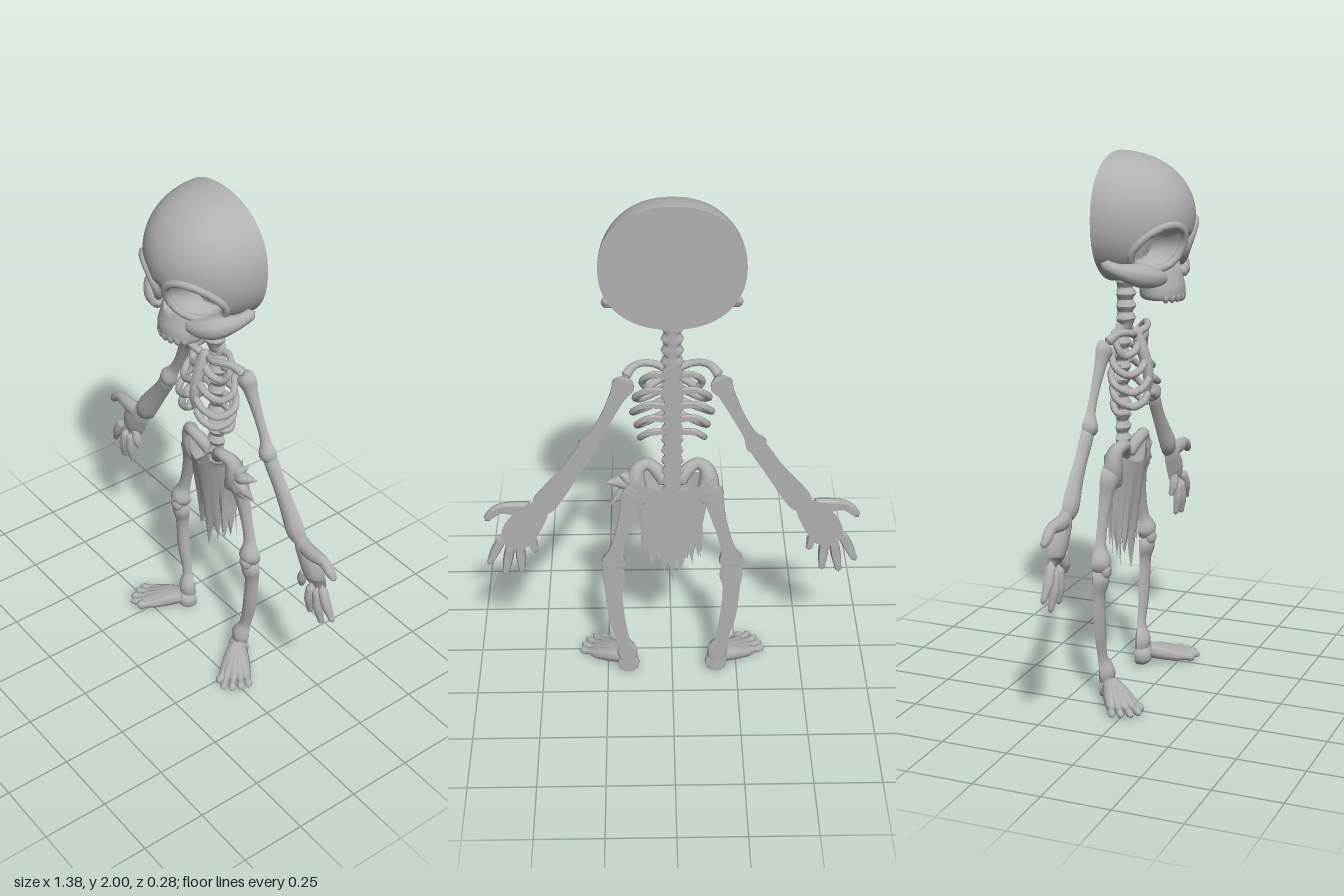
import * as THREE from 'three';
import { toCreasedNormals } from 'three/addons/utils/BufferGeometryUtils.js';

const BACK = -0.14; // everything is a half relief, cut flat on this plane
const bone = new THREE.MeshStandardMaterial({ color: 0xb0b0b0, side: THREE.DoubleSide });
bone.name = 'bone grey';

// Move every vertex by a rule, then flatten the back and the soles
function reshape(geo, rule = () => {}) {
  const p = geo.attributes.position, v = new THREE.Vector3();
  for (let i = 0; i < p.count; i++) {
    v.fromBufferAttribute(p, i);
    rule(v, i);
    p.setXYZ(i, v.x, Math.max(0, v.y), Math.max(BACK, v.z));
  }
  return toCreasedNormals(geo, 0.8);
}

function add(group, name, geo) {
  const mesh = new THREE.Mesh(geo, bone);
  mesh.name = name;
  group.add(mesh);
}

// Tapered tube through points [x, y, z, radius]; s mirrors it
function limb(pts, s = 1, sides = 10, per = 4) {
  const curve = new THREE.CatmullRomCurve3(pts.map(p => new THREE.Vector3(p[0] * s, p[1], p[2])));
  const radius = new THREE.SplineCurve(pts.map((p, i) => new THREE.Vector2(i, p[3])));
  curve.getPointAt = curve.getPoint;
  curve.getTangentAt = curve.getTangent;
  const n = (pts.length - 1) * per;
  const geo = new THREE.TubeGeometry(curve, n, 1, sides);
  const normal = geo.attributes.normal;
  const c = new THREE.Vector3(), d = new THREE.Vector3();
  return reshape(geo, (v, i) => {
    const ring = Math.floor(i / (sides + 1)), t = ring / n;
    const r = ring === 0 || ring === n ? 0.001 : radius.getPoint(t).y;
    curve.getPoint(t, c);
    v.copy(c).addScaledVector(d.fromBufferAttribute(normal, i), r);
  });
}

function ball(x, y, z, rx, ry, rz) {
  return reshape(new THREE.SphereGeometry(1, 20, 14), v => v.set(x + v.x * rx, y + v.y * ry, z + v.z * rz));
}

// Eye sockets, nose opening and the dip between the brows
function dent(x, y) {
  const ax = Math.abs(x);
  const eye = Math.hypot((ax - 0.115) / 0.082, (y - 1.68) / 0.076);
  const nose = Math.hypot((ax - 0.014) / 0.02, (y - 1.63) / 0.045);
  const bridge = Math.hypot(x / 0.06, (y - 1.68) / 0.05);
  return 0.1 * (1 - THREE.MathUtils.smoothstep(eye, 0.6, 1))
    + 0.05 * (1 - THREE.MathUtils.smoothstep(nose, 0.5, 1))
    + 0.02 * (1 - THREE.MathUtils.smoothstep(bridge, 0, 1));
}
const faceBulge = (x, y) => 0.05 * Math.exp(-(((y - 1.6) / 0.06) ** 2)) * Math.min(1, Math.abs(x) / 0.1);
function domeZ(x, y) {
  const c = Math.sqrt(Math.max(0, 1 - Math.abs(x / 0.25) ** 2.2 - Math.abs((y - 1.77) / 0.23) ** 2.2));
  return BACK + (0.28 + faceBulge(x, y)) * c;
}

function makeSkull() {
  const g = new THREE.Group();
  g.name = 'skull';
  const dome = new THREE.SphereGeometry(1, 96, 64).rotateX(Math.PI / 2);
  add(g, 'cranium', reshape(dome, v => {
    const l = Math.hypot(v.x, v.y) || 1;
    const k = (Math.abs(v.x / l) ** 2.2 + Math.abs(v.y / l) ** 2.2) ** (-1 / 2.2);
    const x = v.x * k * 0.25, y = 1.77 + v.y * k * 0.23, c = v.z;
    v.set(x, y, BACK + (0.28 + faceBulge(x, y)) * c - (c > 0 ? dent(x, y) : 0));
  }));
  // Upper jaw
  const profile = new THREE.SplineCurve([[0.002, 1.5], [0.08, 1.485], [0.094, 1.52], [0.082, 1.57],
    [0.066, 1.62], [0.045, 1.67], [0.002, 1.7]].map(p => new THREE.Vector2(...p)));
  add(g, 'upperJaw', reshape(new THREE.LatheGeometry(profile.getPoints(30), 48), v => {
    const front = v.z > 0;
    v.z = 0.03 + v.z * 0.85;
    if (front) v.z -= dent(v.x, v.y);
  }));
  for (let i = -3; i <= 3; i++) {
    const a = i * 0.33;
    add(g, 'tooth', ball(0.08 * Math.sin(a), 1.497, 0.03 + 0.07 * Math.cos(a), 0.014, 0.021, 0.012));
  }
  for (const s of [1, -1]) {
    // Eye socket rim lying on the dome
    const rim = [];
    for (let i = 0; i < 20; i++) {
      const a = i / 20 * Math.PI * 2;
      const x = 0.115 + 0.085 * Math.cos(a), y = 1.68 + 0.079 * Math.sin(a);
      rim.push(new THREE.Vector3(x * s, y, domeZ(x, y) - 0.005));
    }
    add(g, 'eyeRim', reshape(new THREE.TubeGeometry(new THREE.CatmullRomCurve3(rim, true), 48, 0.014, 8, true)));
    add(g, 'cheekbone', limb([[0.075, 1.57, 0.07, 0.02], [0.13, 1.575, 0.05, 0.035], [0.18, 1.59, 0.01, 0.042],
      [0.212, 1.605, -0.05, 0.026], [0.225, 1.63, -0.11, 0.02]], s));
  }
  return g;
}

function makeTorso() {
  const g = new THREE.Group();
  g.name = 'torso';
  const spine = [];
  for (let i = 0; i <= 32; i++) {
    const y = 1.56 - i * 0.0225;
    spine.push([0, y, y > 1.36 ? -0.115 : -0.135, i % 2 ? 0.041 : 0.028]);
  }
  add(g, 'spine', limb(spine, 1, 12, 3));
  add(g, 'breastbone', limb([[0, 1.37, -0.08, 0.018], [0, 1.31, -0.055, 0.022], [0, 1.2, -0.025, 0.02],
    [0, 1.11, -0.035, 0.01]]));
  const ribs = [[1.315, 0.105, -0.06], [1.25, 0.13, -0.035], [1.19, 0.14, -0.018], [1.135, 0.125, -0.022]];
  for (const s of [1, -1]) {
    for (const [y, w, z] of ribs) {
      add(g, 'rib', limb([[0.01, y + 0.035, -0.13, 0.014], [w * 0.65, y + 0.04, -0.13, 0.013],
        [w, y - 0.005, -0.1, 0.013], [w * 0.85, y - 0.035, z - 0.025, 0.014],
        [w * 0.45, y - 0.025, z, 0.014], [0.005, y + 0.005, z, 0.014]], s, 8));
    }
    add(g, 'floatingRib', limb([[0.01, 1.12, -0.135, 0.013], [0.08, 1.115, -0.13, 0.013],
      [0.115, 1.075, -0.1, 0.012], [0.09, 1.07, -0.06, 0.009]], s, 8));
    add(g, 'collarbone', limb([[0.015, 1.345, -0.075, 0.016], [0.07, 1.36, -0.06, 0.013],
      [0.13, 1.368, -0.085, 0.014], [0.17, 1.335, -0.12, 0.02]], s));
    add(g, 'hipBone', limb([[0.02, 0.88, -0.12, 0.025], [0.05, 0.925, -0.1, 0.026], [0.09, 0.95, -0.085, 0.022],
      [0.125, 0.935, -0.1, 0.028], [0.13, 0.86, -0.115, 0.04], [0.09, 0.79, -0.12, 0.03]], s));
  }
  return g;
}

function makeArm(s) {
  const g = new THREE.Group();
  g.name = s > 0 ? 'leftArm' : 'rightArm';
  add(g, 'upperArm', limb([[0.155, 1.345, -0.135, 0.02], [0.17, 1.315, -0.135, 0.042], [0.19, 1.275, -0.135, 0.03],
    [0.235, 1.18, -0.14, 0.023], [0.275, 1.105, -0.14, 0.025], [0.3, 1.06, -0.135, 0.04], [0.32, 1.03, -0.14, 0.02]], s));
  add(g, 'forearm', limb([[0.285, 1.08, -0.14, 0.022], [0.315, 1.035, -0.14, 0.034], [0.36, 0.965, -0.145, 0.036],
    [0.42, 0.88, -0.15, 0.045], [0.465, 0.815, -0.145, 0.047], [0.495, 0.775, -0.14, 0.03]], s));
  add(g, 'palm', limb([[0.47, 0.81, -0.14, 0.03], [0.5, 0.775, -0.155, 0.05], [0.545, 0.715, -0.17, 0.066],
    [0.58, 0.65, -0.17, 0.058], [0.595, 0.62, -0.15, 0.02]], s, 14));
  const tips = [[0.685, 0.535, 0.62, 0.67], [0.625, 0.485, 0.595, 0.64], [0.56, 0.495, 0.565, 0.64], [0.505, 0.59, 0.53, 0.68]];
  for (const [x, y, kx, ky] of tips) {
    const mx = (x + kx) / 2, my = (y + ky) / 2;
    add(g, 'finger', limb([[kx, ky, -0.13, 0.018], [mx, my, -0.125, 0.019], [(mx + x) / 2, (my + y) / 2, -0.13, 0.015],
      [x, y, -0.135, 0.011]], s, 8));
  }
  add(g, 'thumb', limb([[0.51, 0.785, -0.13, 0.03], [0.57, 0.785, -0.125, 0.028], [0.63, 0.785, -0.125, 0.02],
    [0.66, 0.765, -0.125, 0.019], [0.685, 0.735, -0.13, 0.012]], s, 8));
  return g;
}

function makeLeg(s) {
  const g = new THREE.Group();
  g.name = s > 0 ? 'leftLeg' : 'rightLeg';
  add(g, 'thighBone', limb([[0.12, 0.88, -0.13, 0.025], [0.145, 0.845, -0.125, 0.042], [0.16, 0.78, -0.13, 0.032],
    [0.185, 0.68, -0.135, 0.025], [0.208, 0.59, -0.135, 0.028], [0.218, 0.54, -0.13, 0.046], [0.22, 0.5, -0.135, 0.03]], s));
  add(g, 'kneecap', ball(0.218 * s, 0.51, -0.105, 0.028, 0.032, 0.022));
  add(g, 'shinBone', limb([[0.22, 0.525, -0.14, 0.03], [0.22, 0.48, -0.135, 0.044], [0.222, 0.42, -0.14, 0.033],
    [0.212, 0.28, -0.14, 0.031], [0.188, 0.16, -0.14, 0.026], [0.175, 0.1, -0.13, 0.04], [0.17, 0.05, -0.13, 0.03]], s));
  add(g, 'heel', ball(0.17 * s, 0.04, -0.125, 0.042, 0.042, 0.045));
  const toes = [[0.275, 0.06], [0.31, 0.067], [0.338, 0.045], [0.355, 0.012], [0.363, -0.022]];
  toes.forEach(([x, z], i) => {
    const r = i ? 0.013 : 0.017;
    const mix = (t, y, rad) => [0.175 + (x - 0.175) * t, y, -0.11 + (z + 0.11) * t, rad];
    add(g, 'toe', limb([mix(0, 0.06, 0.03), mix(0.35, 0.042, 0.029), mix(0.65, 0.026, 0.022),
      mix(0.8, 0.022, r), mix(0.92, 0.018, r * 1.1), mix(1, 0.013, r * 0.6)], s, 8));
  });
  return g;
}

function makeLoincloth() {
  const g = new THREE.Group();
  g.name = 'loincloth';
  const N = 48, jag = [-0.05, -0.01, 0.045, 0.0, -0.03, 0.05];
  add(g, 'raggedCloth', reshape(new THREE.CylinderGeometry(1, 1, 1, N, 10, true), v => {
    const a = Math.atan2(v.x, v.z), t = 0.5 - v.y;
    const k = Math.round(Math.abs(a) / (Math.PI * 2) * N);
    const side = Math.abs(Math.sin(a));
    const top = (v.z > 0 ? 0.875 : 0.86) + 0.06 * side ** 2;
    const bottom = 0.5 + 0.11 * side + jag[k % 6];
    const fold = 1 + 0.06 * Math.sin(a * 9) * t;
    const w = 0.145 - 0.035 * Math.min(1, t * 1.5), d = 0.092 - 0.05 * t;
    v.set(w * Math.sin(a) * fold, top + (bottom - top) * t, BACK + 0.002 + d * Math.cos(a) * fold);
  }));
  // Knotted ends on the left hip
  for (const [x, y] of [[0.19, 0.935], [0.24, 0.9], [0.225, 0.8], [0.19, 0.77]]) {
    add(g, 'knotEnd', limb([[0.14, 0.87, -0.11, 0.02], [(0.14 + x) / 2, (0.87 + y) / 2 + 0.005, -0.11, 0.024],
      [x, y, -0.13, 0.003]], 1, 8));
  }
  return g;
}

export function createModel() {
  const model = new THREE.Group();
  model.name = 'skeleton';
  model.add(makeSkull(), makeTorso(), makeLoincloth());
  for (const s of [1, -1]) model.add(makeArm(s), makeLeg(s));
  return model;
}
